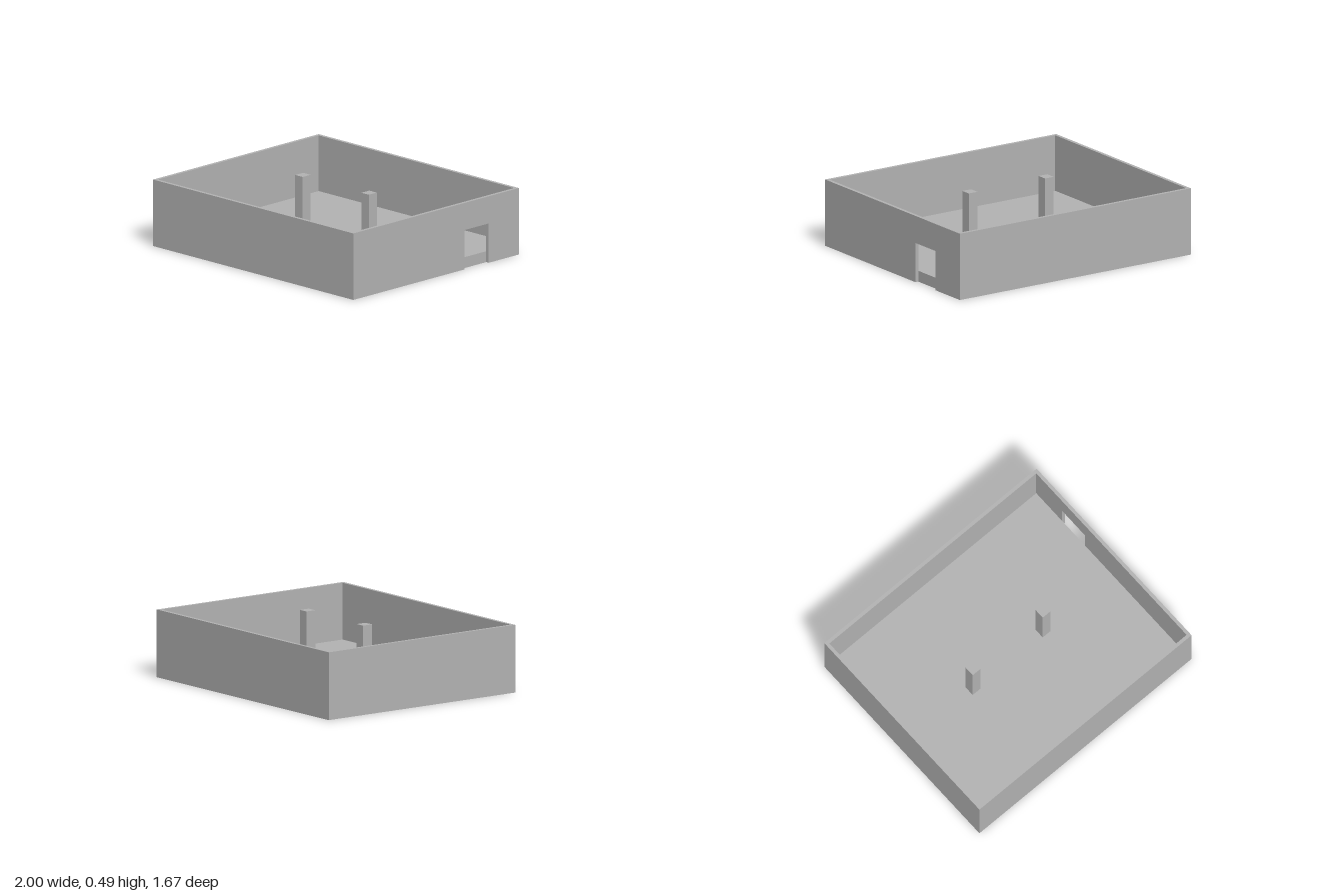
import * as THREE from 'three';

const W = 1, D = 0.835, H = 0.49, T = 0.025; // half width, half depth, height, wall thickness
const FLOOR = 0.08;

function polygon(points) {
  return new THREE.Shape(points.map(([x, y]) => new THREE.Vector2(x, y)));
}

export function createModel() {
  const group = new THREE.Group();
  const grey = new THREE.MeshStandardMaterial({ color: 0xb2b2b2 });
  grey.name = 'plain grey';

  function add(name, geometry, x = 0, y = 0, z = 0) {
    const mesh = new THREE.Mesh(geometry, grey);
    mesh.name = name;
    mesh.position.set(x, y, z);
    group.add(mesh);
  }

  const xi = W - T, zi = D - T; // inner faces of the walls

  // Floor slab between the walls
  add('floor', new THREE.BoxGeometry(2 * xi, FLOOR, 2 * zi), 0, FLOOR / 2, 0);

  // Front, back and right walls as one U-shaped plan
  const plan = polygon([
    [xi, -D], [xi, -zi], [-xi, -zi], [-xi, zi], [xi, zi], [xi, D], [-W, D], [-W, -D],
  ]);
  const walls = new THREE.ExtrudeGeometry(plan, { depth: H, bevelEnabled: false });
  walls.rotateX(-Math.PI / 2);
  add('walls', walls);

  // Left wall with a doorway notched up from the ground
  const elevation = polygon([
    [-D, 0], [0.285, 0], [0.285, 0.29], [0.53, 0.29], [0.53, 0], [D, 0], [D, H], [-D, H],
  ]);
  const doorWall = new THREE.ExtrudeGeometry(elevation, { depth: T, bevelEnabled: false });
  doorWall.rotateY(Math.PI / 2);
  add('doorWall', doorWall, xi);

  // Two square columns rising to the top of the walls
  const column = new THREE.BoxGeometry(0.075, H - FLOOR, 0.08);
  for (const [name, x] of [['rightColumn', -0.33], ['leftColumn', 0.33]]) {
    add(name, column, x, (H + FLOOR) / 2, 0);
  }

  return group;
}
